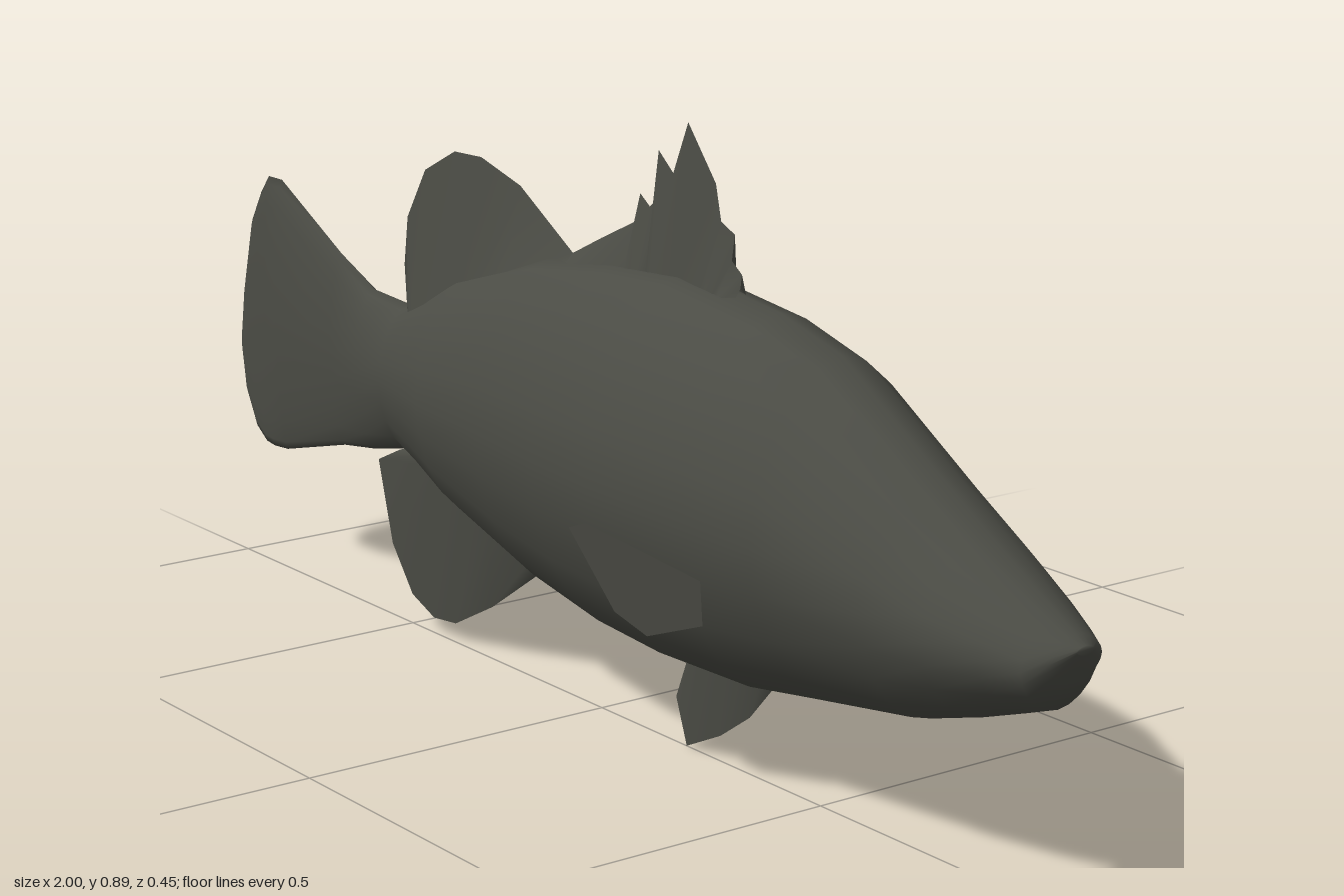
import * as THREE from 'three';

const skin = new THREE.MeshStandardMaterial({ color: 0x4b4c45, side: THREE.DoubleSide });
skin.name = 'dark olive skin';

function build(name, positions, indices) {
  const geometry = new THREE.BufferGeometry();
  geometry.setAttribute('position', new THREE.Float32BufferAttribute(positions, 3));
  geometry.setIndex(indices);
  geometry.computeVertexNormals();
  const mesh = new THREE.Mesh(geometry, skin);
  mesh.name = name;
  return mesh;
}

// Cross-sections from tail edge to snout: x, top, bottom, half width
const sections = [
  [-1, 0.38, 0.34, 0.002], [-0.99, 0.45, 0.28, 0.004], [-0.96, 0.57, 0.225, 0.008],
  [-0.93, 0.62, 0.205, 0.012], [-0.905, 0.65, 0.202, 0.014], [-0.865, 0.65, 0.205, 0.018],
  [-0.69, 0.56, 0.25, 0.026], [-0.6, 0.52, 0.263, 0.036], [-0.5, 0.513, 0.285, 0.058],
  [-0.42, 0.545, 0.26, 0.078], [-0.33, 0.59, 0.225, 0.102], [-0.12, 0.655, 0.17, 0.14],
  [0.05, 0.68, 0.143, 0.162], [0.2, 0.69, 0.135, 0.175], [0.4, 0.668, 0.14, 0.169],
  [0.53, 0.635, 0.16, 0.153], [0.72, 0.52, 0.19, 0.128], [0.82, 0.462, 0.22, 0.113],
  [0.9, 0.418, 0.248, 0.088], [0.955, 0.388, 0.268, 0.066], [0.982, 0.373, 0.31, 0.045],
  [1, 0.363, 0.35, 0.015],
];

// Body and tail fin, lofted through slightly pointed ovals
function makeBody() {
  const n = 20, positions = [], indices = [];
  const bulge = (v) => Math.sign(v) * Math.abs(v) ** 1.12;
  sections.forEach(([x, top, bottom, w], i) => {
    for (let j = 0; j < n; j++) {
      const a = (j / n) * Math.PI * 2;
      positions.push(x, (top + bottom) / 2 + bulge(Math.sin(a)) * (top - bottom) / 2, bulge(Math.cos(a)) * w);
      if (i === sections.length - 1) continue;
      const k = (j + 1) % n, p = i * n, q = p + n;
      indices.push(p + j, q + j, q + k, p + j, q + k, p + k);
    }
  });
  // close both ends
  const last = (sections.length - 1) * n;
  for (let j = 1; j < n - 1; j++) {
    indices.push(0, j, j + 1, last, last + j + 1, last + j);
  }
  return build('body', positions, indices);
}

// Wedge fin: rows of base x, base y, edge x, edge y; thick at the base, sharp at the edge
function makeFin(name, rows, thickness) {
  const positions = [], indices = [];
  for (const s of [1, -1]) {
    const start = positions.length / 3;
    rows.forEach(([bx, by, ex, ey], i) => {
      positions.push(bx, by, s * thickness, ex, ey, 0);
      if (i === rows.length - 1) return;
      const a = start + i * 2, b = a + 1, c = a + 2, d = a + 3;
      if (s > 0) indices.push(a, c, d, a, d, b);
      else indices.push(a, d, c, a, b, d);
    });
  }
  return build(name, positions, indices);
}

// Side fins flare outward towards the rear
function makePectoral(side) {
  const outline = [[0.44, 0.335], [0.435, 0.27], [0.34, 0.235], [0.29, 0.26], [0.23, 0.37], [0.26, 0.382]];
  const geometry = new THREE.ShapeGeometry(new THREE.Shape(outline.map(([x, y]) => new THREE.Vector2(x, y))));
  const p = geometry.attributes.position;
  for (let i = 0; i < p.count; i++) {
    const z = 0.162 + (0.44 - p.getX(i)) * 0.27 + (p.getY(i) - 0.335) * 0.15;
    p.setZ(i, side * z);
  }
  geometry.computeVertexNormals();
  const mesh = new THREE.Mesh(geometry, skin);
  mesh.name = side > 0 ? 'rightPectoralFin' : 'leftPectoralFin';
  return mesh;
}

export function createModel() {
  const fish = new THREE.Group();
  fish.name = 'fish';
  fish.add(makeBody());

  // Rounded rear dorsal fin
  fish.add(makeFin('rearDorsalFin', [
    [-0.46, 0.5, -0.475, 0.535], [-0.46, 0.505, -0.51, 0.575], [-0.45, 0.51, -0.5, 0.65],
    [-0.42, 0.525, -0.45, 0.73], [-0.36, 0.55, -0.37, 0.77], [-0.3, 0.58, -0.3, 0.772],
    [-0.2, 0.615, -0.2, 0.745], [-0.06, 0.65, -0.07, 0.668],
  ], 0.028));

  // Ragged spiny dorsal fin
  fish.add(makeFin('spinyDorsalFin', [
    [-0.07, 0.65, -0.07, 0.668], [0, 0.66, 0, 0.702], [0.08, 0.67, 0.093, 0.745],
    [0.09, 0.67, 0.09, 0.78], [0.11, 0.67, 0.112, 0.765], [0.13, 0.67, 0.145, 0.79],
    [0.14, 0.67, 0.132, 0.847], [0.16, 0.67, 0.165, 0.82], [0.2, 0.67, 0.198, 0.895],
    [0.25, 0.67, 0.26, 0.82], [0.26, 0.67, 0.272, 0.77], [0.28, 0.67, 0.302, 0.757],
    [0.29, 0.67, 0.296, 0.72], [0.3, 0.67, 0.318, 0.705], [0.32, 0.66, 0.315, 0.685],
  ], 0.022));

  // Anal fin under the tail root
  fish.add(makeFin('analFin', [
    [-0.14, 0.2, -0.15, 0.172], [-0.26, 0.225, -0.28, 0.085], [-0.34, 0.25, -0.38, 0.033],
    [-0.37, 0.26, -0.44, 0.027], [-0.4, 0.27, -0.5, 0.05], [-0.42, 0.28, -0.555, 0.12],
    [-0.44, 0.29, -0.592, 0.248], [-0.45, 0.3, -0.53, 0.277], [-0.45, 0.31, -0.46, 0.3],
  ], 0.024));

  // Small belly fin
  fish.add(makeFin('bellyFin', [
    [0.39, 0.16, 0.395, 0.14], [0.34, 0.16, 0.345, 0.085], [0.29, 0.16, 0.28, 0.04],
    [0.25, 0.16, 0.203, 0.003], [0.23, 0.16, 0.178, 0.07], [0.22, 0.16, 0.215, 0.13],
  ], 0.014));

  for (const side of [1, -1]) fish.add(makePectoral(side));
  return fish;
}
